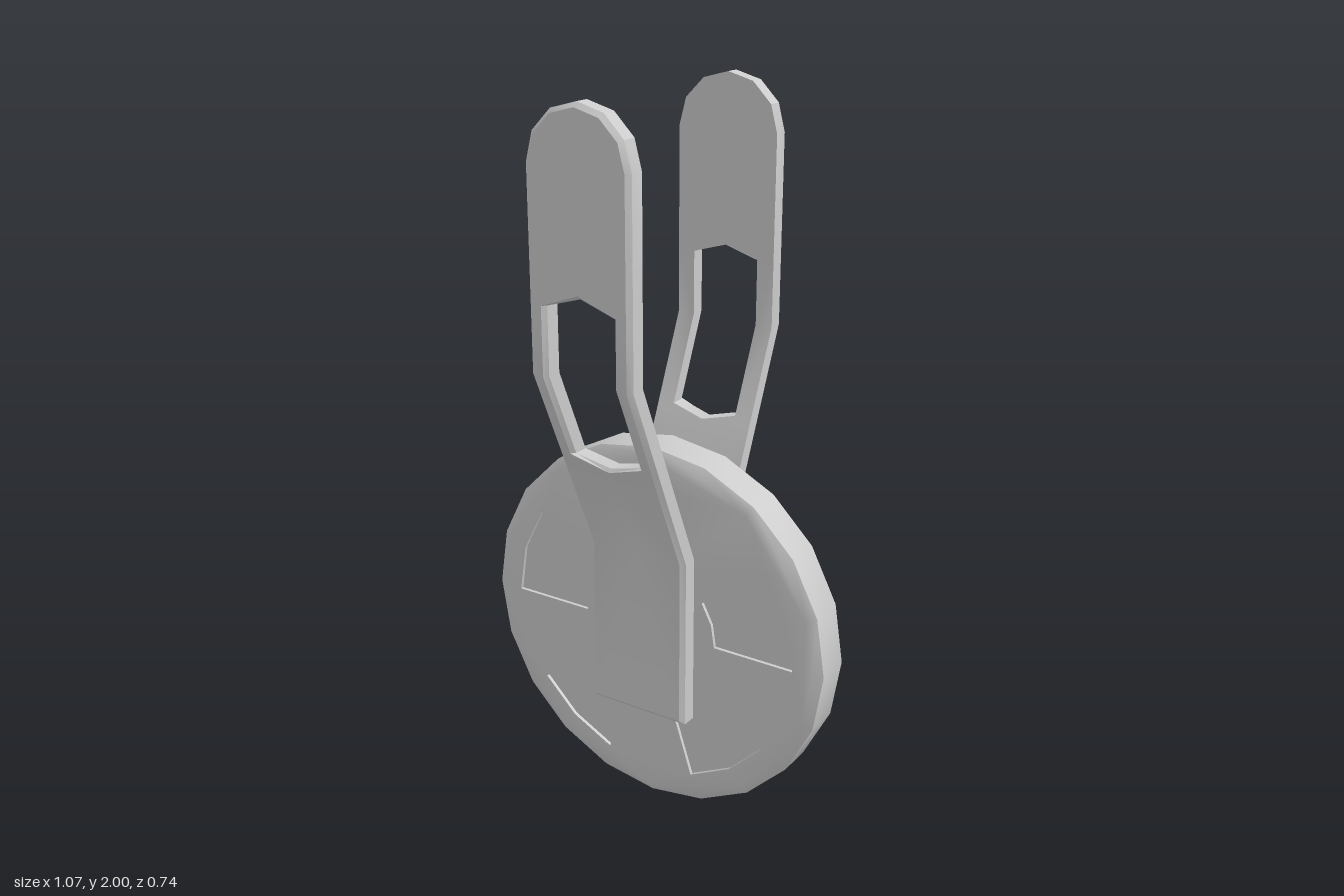
import * as THREE from 'three';
import { mergeGeometries, toCreasedNormals } from 'three/addons/utils/BufferGeometryUtils.js';

const material = new THREE.MeshStandardMaterial({ color: 0xcccccc });

// Collects quads (corners counter-clockwise from outside) and skips collapsed triangles
function quadBuilder() {
  const pos = [];
  const tri = (a, b, c) => {
    const area = new THREE.Triangle(a, b, c).getArea();
    if (area > 1e-9) for (const p of [a, b, c]) pos.push(p.x, p.y, p.z);
  };
  return {
    quad(a, b, c, d, flip = false) {
      if (flip) [b, d] = [d, b];
      tri(a, b, c);
      tri(a, c, d);
    },
    geometry() {
      const g = new THREE.BufferGeometry();
      g.setAttribute('position', new THREE.Float32BufferAttribute(pos, 3));
      return g;
    },
  };
}

// Merges pieces and smooths across shallow edges only
function finish(name, pieces, crease) {
  const plain = pieces.map((p) => {
    const g = p.index ? p.toNonIndexed() : p;
    g.deleteAttribute('uv');
    g.deleteAttribute('normal');
    return g;
  });
  const mesh = new THREE.Mesh(toCreasedNormals(mergeGeometries(plain), crease), material);
  mesh.name = name;
  return mesh;
}

const polar = (r, deg) => {
  const a = THREE.MathUtils.degToRad(deg);
  return new THREE.Vector2(r * Math.cos(a), r * Math.sin(a));
};

// Twenty-sided wheel with five shallow pockets on each face
function createWheel() {
  const R = 0.534, faceR = 0.508, half = 0.068, rimHalf = 0.052, depth = 0.01;
  const rim = new THREE.LatheGeometry([
    new THREE.Vector2(faceR, -half), new THREE.Vector2(R, -rimHalf),
    new THREE.Vector2(R, rimHalf), new THREE.Vector2(faceR, half),
  ], 20).rotateX(Math.PI / 2);

  const disc = new THREE.Shape(Array.from({ length: 20 }, (_, i) => polar(faceR, i * 18)));
  const walls = quadBuilder();
  for (let k = 0; k < 5; k++) {
    const s = k * 72;
    const pocket = [
      polar(0.45, s), polar(0.45, s + 18), polar(0.45, s + 36),
      polar(0.21, s + 36), polar(0.21, s + 18), polar(0.21, s),
    ];
    disc.holes.push(new THREE.Path(pocket));
    pocket.forEach((p, i) => {
      const q = pocket[(i + 1) % pocket.length];
      const at = (v, z) => new THREE.Vector3(v.x, v.y, z);
      walls.quad(at(p, half), at(q, half), at(q, half - depth), at(p, half - depth));
    });
  }
  const face = new THREE.ShapeGeometry(disc).translate(0, 0, half);
  const floor = new THREE.CircleGeometry(0.48, 20).translate(0, 0, half - depth);
  const side = [face, floor, walls.geometry()];
  const other = side.map((g) => g.clone().rotateY(Math.PI));
  const wheel = finish('wheel', [rim, ...side, ...other], 0.66);
  wheel.position.y = R;
  return wheel;
}

// Bent flat arm with a rounded top, a long hole and a chamfered outer face
function createArm(name) {
  const W = 0.15, T = 0.053, c = 0.012, hc = 0.01, topY = 1.85;
  const lowBend = 0.785, highBend = 1.33;
  const backZ = (y) => 0.076 + 0.239 * THREE.MathUtils.clamp((y - lowBend) / (highBend - lowBend), 0, 1);

  // Rows from bottom to top: outer edge (w, y), its chamfered copy (wf, yf),
  // hole half-width h and the front height of the inner edge yi
  const row = (y, h = 0, yi = y) => ({ y, w: W, wf: W - c, yf: y, h, yi });
  const rows = [
    { ...row(0.3), yf: 0.3 + c, yi: 0.3 + c },
    row(lowBend),
    row(1.07, 0, 1.07 - hc),
    row(1.095, 0.1),
    row(highBend, 0.1),
    row(1.51, 0.1),
    row(1.54, 0, 1.54 + hc),
  ];
  for (const deg of [0, 30, 60, 90]) {
    const o = polar(W, deg), f = polar(W - c, deg);
    rows.push({ y: topY + o.y, w: o.x, wf: f.x, yf: topY + f.y, h: 0, yi: topY + f.y });
  }

  const b = quadBuilder();
  for (const s of [1, -1]) {
    const rings = rows.map(({ y, w, wf, yf, h, yi }) => {
      const v = (x, py, dz) => new THREE.Vector3(s * x, py, backZ(py) + dz);
      return [
        v(h, y, 0), v(w, y, 0), v(w, y, T - c), v(wf, yf, T),
        v(h > 0 ? h + hc : 0, yi, T), v(h, y, T - c),
      ];
    });
    for (let i = 0; i < rings.length - 1; i++) {
      const lo = rings[i], hi = rings[i + 1];
      const open = rows[i].h > 0 || rows[i + 1].h > 0;
      for (let j = 0; j < (open ? 6 : 4); j++) {
        const n = (j + 1) % 6;
        b.quad(lo[j], hi[j], hi[n], lo[n], s < 0);
      }
    }
    // Bottom end and its chamfer
    const e = rings[0];
    b.quad(e[0], e[1], e[2], e[5], s < 0);
    b.quad(e[5], e[2], e[3], e[4], s < 0);
  }
  return finish(name, [b.geometry()], 0.5);
}

export function createModel() {
  const model = new THREE.Group();
  model.name = 'forkedWheel';
  const front = createArm('frontArm');
  const back = createArm('backArm');
  back.rotation.y = Math.PI;
  model.add(createWheel(), front, back);
  return model;
}
